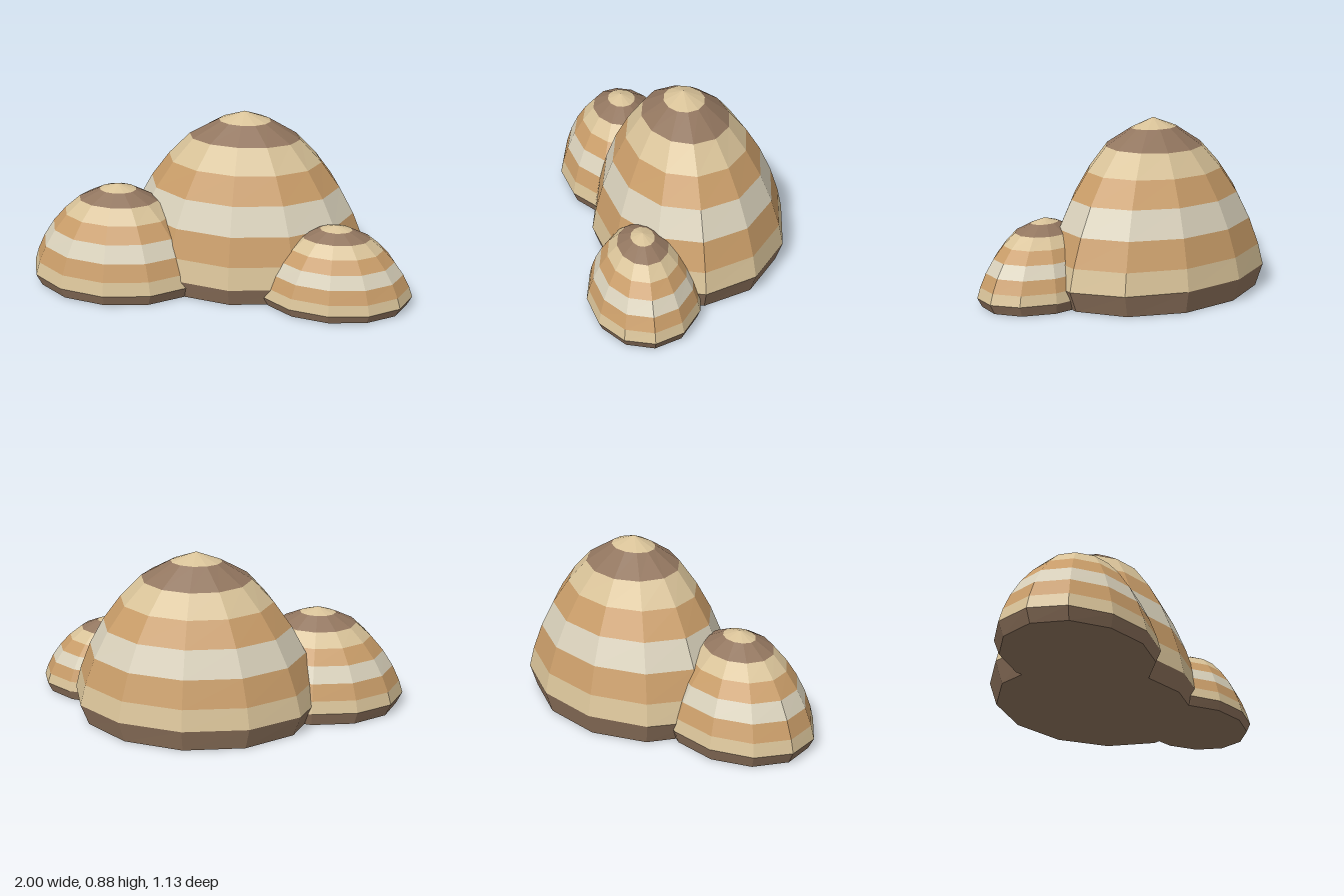
import * as THREE from 'three';

const SIDES = 12;

const mat = (name, color) => {
  const m = new THREE.MeshStandardMaterial({ color, flatShading: true });
  m.name = name;
  return m;
};

// Dome profile: [radius, height] as fractions, from the ground to the tip
const PROFILE = [
  [0.935, 0], [1, 0.119], [0.955, 0.246], [0.87, 0.407], [0.755, 0.565],
  [0.61, 0.713], [0.44, 0.845], [0.205, 0.945], [0, 1],
];

// One point on a ring; rings lean a little so the strata look uneven
function ringPoint(dome, k, i) {
  const a = (i / SIDES) * Math.PI * 2;
  const [r, h] = PROFILE[k];
  const c = Math.cos(a);
  const lean = k === 0 || k > 6 ? 0 : (-0.012 + (k - 1) * 0.005) * c;
  return [
    Math.sin(a) * r * dome.rx,
    (h + lean) * dome.height,
    c * r * (c > 0 ? dome.front : dome.back),
  ];
}

// Surface between ring k and ring k + 1
function bandGeometry(dome, k) {
  const pos = [];
  for (let i = 0; i < SIDES; i++) {
    const a = ringPoint(dome, k, i), b = ringPoint(dome, k, i + 1);
    const c = ringPoint(dome, k + 1, i + 1), d = ringPoint(dome, k + 1, i);
    pos.push(...a, ...b, ...c);
    if (k < PROFILE.length - 2) pos.push(...a, ...c, ...d);
    // Flat underside closes the lowest band
    if (k === 0) pos.push(...b, ...a, 0, 0, 0);
  }
  const g = new THREE.BufferGeometry();
  g.setAttribute('position', new THREE.Float32BufferAttribute(pos, 3));
  g.computeVertexNormals();
  return g;
}

export function createModel() {
  const brown = mat('brown rock', 0x92765f);
  const cream = mat('cream rock', 0xd8c298);
  const orange = mat('orange rock', 0xc89c68);
  const pale = mat('pale rock', 0xd8d0ba);
  const strata = [
    ['baseLayer', brown], ['lowerCreamLayer', cream], ['lowerOrangeLayer', orange],
    ['paleLayer', pale], ['upperOrangeLayer', orange], ['upperCreamLayer', cream],
    ['upperBrownLayer', brown], ['tip', cream],
  ];

  const domes = [
    { name: 'largeDome', x: 0.09, z: -0.03, rx: 0.66, front: 0.485, back: 0.54, height: 0.885 },
    { name: 'mediumDome', x: -0.53, z: 0.21, rx: 0.47, front: 0.355, back: 0.38, height: 0.535 },
    { name: 'smallDome', x: 0.605, z: 0.26, rx: 0.395, front: 0.285, back: 0.29, height: 0.413 },
  ];

  const model = new THREE.Group();
  model.name = 'layeredRockDomes';
  for (const dome of domes) {
    const group = new THREE.Group();
    group.name = dome.name;
    group.position.set(dome.x, 0, dome.z);
    strata.forEach(([name, material], k) => {
      const mesh = new THREE.Mesh(bandGeometry(dome, k), material);
      mesh.name = name;
      group.add(mesh);
    });
    model.add(group);
  }
  return model;
}
